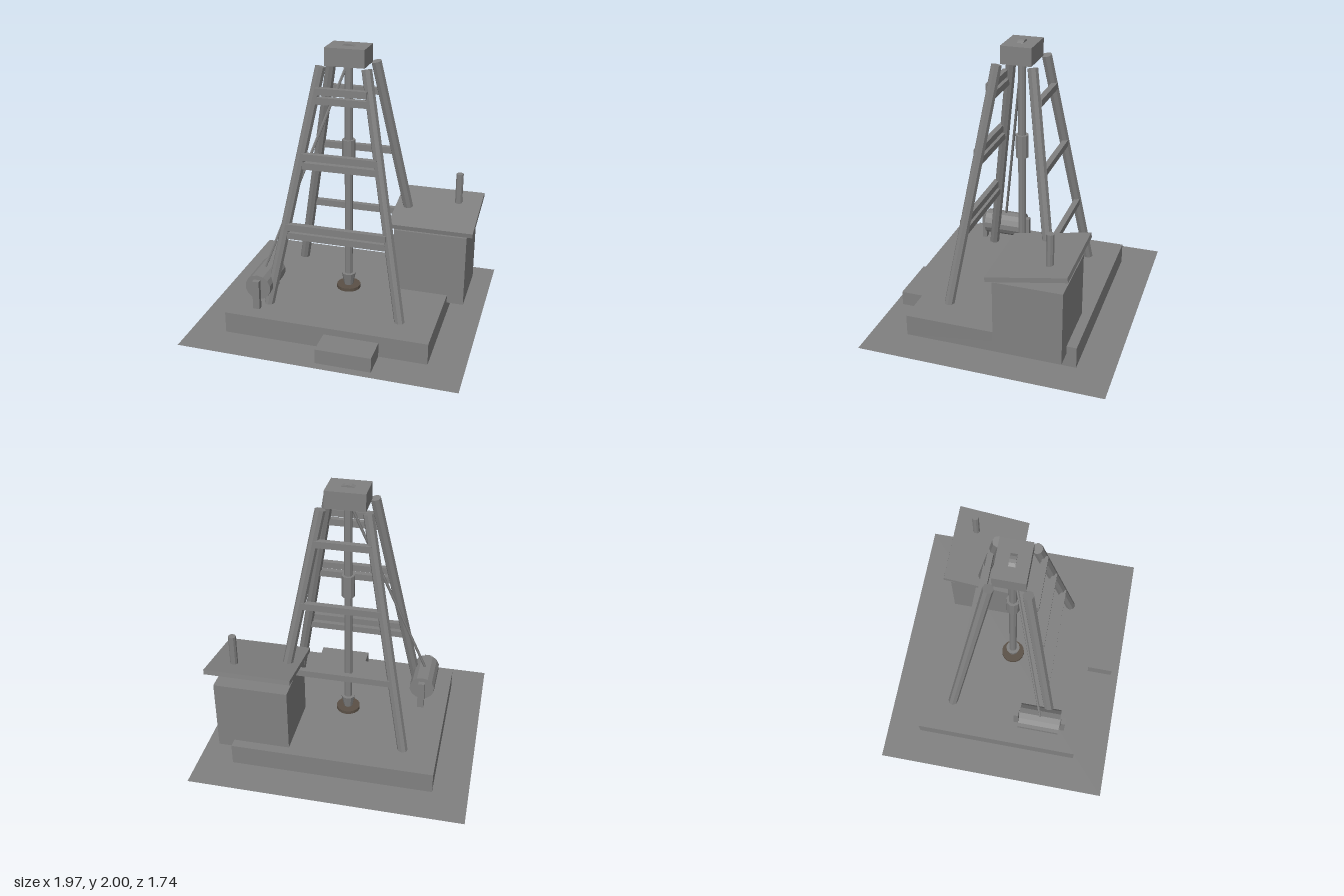
import * as THREE from 'three';

export function createModel() {
  const root = new THREE.Group();
  root.name = 'drillingRig';
  const grey = new THREE.MeshStandardMaterial({ color: 0x808080, flatShading: true, side: THREE.DoubleSide });
  grey.name = 'grey';
  const brown = new THREE.MeshStandardMaterial({ color: 0x5a5046, flatShading: true });
  brown.name = 'darkBrown';

  const add = (name, geometry, x, y, z, material = grey) => {
    const mesh = new THREE.Mesh(geometry, material);
    mesh.name = name;
    mesh.position.set(x, y, z);
    root.add(mesh);
    return mesh;
  };
  // Box given by its limits on each axis
  const box = (name, x0, x1, y0, y1, z0, z1) =>
    add(name, new THREE.BoxGeometry(x1 - x0, y1 - y0, z1 - z0), (x0 + x1) / 2, (y0 + y1) / 2, (z0 + z1) / 2);
  // Upright cylinder between two heights
  const post = (name, x, z, y0, y1, rTop, rBottom, sides, material) =>
    add(name, new THREE.CylinderGeometry(rTop, rBottom, y1 - y0, sides), x, (y0 + y1) / 2, z, material);
  // Round bar between two points
  const bar = (name, a, b, radius, sides) => {
    const from = new THREE.Vector3(...a), to = new THREE.Vector3(...b);
    const dir = to.clone().sub(from);
    const mid = from.clone().add(to).multiplyScalar(0.5);
    const mesh = add(name, new THREE.CylinderGeometry(radius, radius, dir.length(), sides), mid.x, mid.y, mid.z);
    mesh.quaternion.setFromUnitVectors(new THREE.Vector3(0, 1, 0), dir.normalize());
    return mesh;
  };

  // Ground, platform and step
  const ground = add('ground', new THREE.PlaneGeometry(1.965, 1.74), 0, 0.004, 0);
  ground.rotation.x = -Math.PI / 2;
  box('platform', -0.73, 0.73, 0, 0.16, -0.615, 0.615);
  box('step', 0, 0.39, 0, 0.11, 0.6, 0.81);

  // Four sloping legs
  for (const sx of [-1, 1]) {
    for (const sz of [-1, 1]) {
      bar('leg', [sx * 0.482, 0.15, sz * 0.392], [sx * 0.16, 1.86, sz * 0.125], 0.037, 8);
    }
  }

  // Cross rungs: pairs on the front, single ones on the back
  const legX = (y) => 0.48 - (y - 0.16) * 0.188;
  const rung = (name, y, z) => {
    const x = legX(y) - 0.01;
    box(name, -x, x, y - 0.024, y + 0.024, z - 0.02, z + 0.02);
  };
  for (const [y, z] of [[0.747, 0.319], [1.252, 0.242], [1.703, 0.178]]) {
    rung('frontRung', y, z);
    rung('frontLowerRung', y - 0.067, z - 0.008);
    rung('backRung', y - 0.067, -z);
  }

  // Crown block with its sheave
  box('crownBlock', -0.14, 0.14, 1.86, 1.985, -0.108, 0.108);
  const sheave = add('sheave', new THREE.CylinderGeometry(0.075, 0.075, 0.044, 20), 0, 1.925, 0);
  sheave.rotation.x = Math.PI / 2;

  // Drill string over the borehole
  post('boreholeCollar', 0, 0, 0.155, 0.185, 0.088, 0.088, 16, brown);
  post('drillBit', 0, 0, 0.185, 0.28, 0.053, 0.033, 10);
  post('drillPipe', 0, 0, 0.25, 1.86, 0.029, 0.029, 10);
  post('pipeCoupling', 0, 0, 1.155, 1.322, 0.047, 0.047, 10);

  // Winch drum, its two posts and the cable
  const drum = add('winchDrum', new THREE.CylinderGeometry(0.094, 0.094, 0.31, 14), -0.537, 0.31, 0.307);
  drum.rotation.x = Math.PI / 2;
  for (const z of [0.127, 0.488]) box('winchPost', -0.562, -0.512, 0.15, 0.375, z - 0.017, z + 0.017);
  bar('cable', [-0.54, 0.39, 0.31], [-0.005, 1.87, 0.005], 0.01, 6);

  // Engine shed with a sloping roof and chimney
  box('shed', 0.32, 0.85, 0.1, 0.635, -0.545, -0.07);
  const roof = add('shedRoof', new THREE.BoxGeometry(0.615, 0.034, 0.555), 0.588, 0.723, -0.311);
  roof.rotation.x = 0.175;
  post('chimney', 0.728, -0.422, 0.73, 0.985, 0.027, 0.027, 10);

  return root;
}
